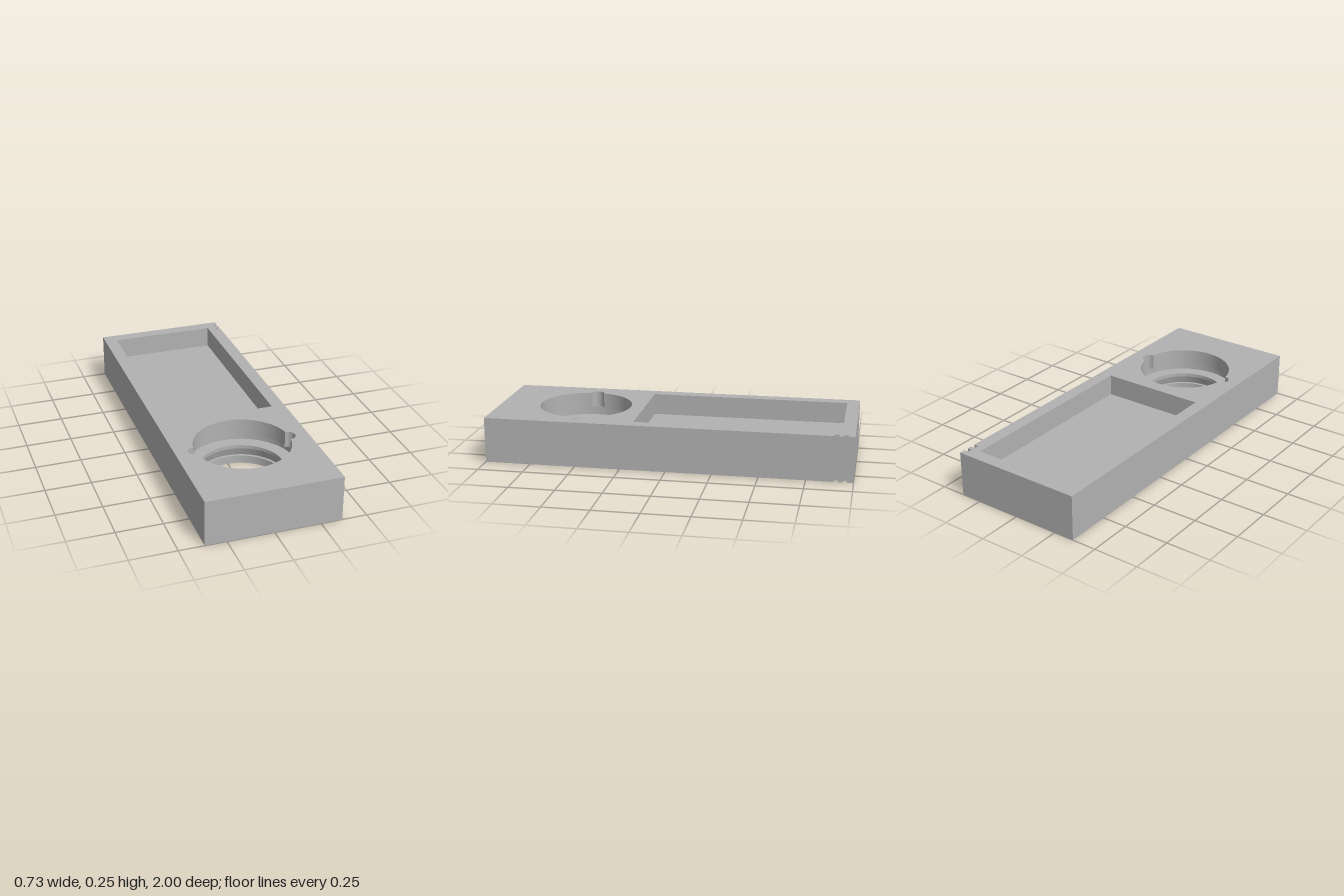
import * as THREE from 'three';

const W = 0.365, H = 0.25;           // half width, height
const POCKET_Y = 0.13;               // pocket floor
const HOLE_Z = 0.52, BORE = 0.258, THROUGH = 0.225, GROOVE = 0.296;
const LIP_Y = 0.16, LEDGE_Y = 0.11;  // underside of the lip, seat ledge

// Plan outlines are lists of [x, z], wound anticlockwise seen from above
const vectors = (pts, sign) => pts.map(([x, z]) => new THREE.Vector2(x, sign * z));

// Flat horizontal face with holes, facing up or down
function cap(outline, holes, y, up) {
  const sign = up ? -1 : 1;
  const shape = new THREE.Shape(vectors(outline, sign));
  holes.forEach(h => shape.holes.push(new THREE.Path(vectors(h, sign))));
  return new THREE.ShapeGeometry(shape).rotateX(up ? -Math.PI / 2 : Math.PI / 2).translate(0, y, 0);
}

// Vertical wall following a closed outline; inward walls face the middle
function wall(outline, y0, y1, inward) {
  const pts = inward ? [...outline].reverse() : outline;
  const pos = [];
  pts.forEach(([x, z], i) => {
    const [u, v] = pts[(i + 1) % pts.length];
    pos.push(x, y0, z, u, y0, v, u, y1, v, x, y0, z, u, y1, v, x, y1, z);
  });
  const g = new THREE.BufferGeometry();
  g.setAttribute('position', new THREE.Float32BufferAttribute(pos, 3));
  g.computeVertexNormals();
  return g;
}

// Closed round outline about the hole centre, radius given by angle
function round(radiusAt, n = 240) {
  return Array.from({ length: n }, (_, i) => {
    const a = (i / n) * Math.PI * 2, r = radiusAt(a);
    return [r * Math.cos(a), HOLE_Z - r * Math.sin(a)];
  });
}

export function createModel() {
  const model = new THREE.Group();
  const grey = new THREE.MeshStandardMaterial({ color: 0xb2b2b2 });
  grey.name = 'plain grey';
  const add = (name, geometry) => {
    const mesh = new THREE.Mesh(geometry, grey);
    mesh.name = name;
    model.add(mesh);
    return mesh;
  };

  // Block outline with two small slots at the back of the left side
  const outline = [[-W, 1], [W, 1]];
  for (const [z0, z1] of [[-0.895, -0.919], [-0.943, -0.966]]) {
    outline.push([W, z0], [0.338, z0], [0.338, z1], [W, z1]);
  }
  outline.push([W, -1], [-W, -1]);

  const pocket = [[-0.295, 0.185], [0.293, 0.185], [0.293, -0.93], [-0.295, -0.93]];
  const through = round(() => THROUGH);
  const groove = round(() => GROOVE);

  // Bore widened by a half-round notch on each side
  const bore = round(a => {
    const c = 0.255, k = 0.04, s = c * Math.sin(a);
    return Math.abs(s) < k
      ? Math.max(BORE, c * Math.abs(Math.cos(a)) + Math.sqrt(k * k - s * s))
      : BORE;
  });

  // Block
  add('outerWalls', wall(outline, 0, H, false));
  add('topFace', cap(outline, [pocket, bore], H, true));
  add('bottomFace', cap(outline, [through], 0, false));

  // Rectangular pocket
  add('pocketWalls', wall(pocket, POCKET_Y, H, true));
  add('pocketFloor', cap(pocket, [], POCKET_Y, true));

  // Notched upper bore with the groove beneath its lip
  add('boreWall', wall(bore, LIP_Y, H, true));
  add('grooveCeiling', cap(groove, [bore], LIP_Y, false));

  // Lower bore, one band per profile step so the edges stay sharp
  const profile = [
    [GROOVE, LIP_Y], [GROOVE, LEDGE_Y], [THROUGH, LEDGE_Y], [THROUGH, 0.09],
    [0.24, 0.045], [THROUGH, 0.045], [THROUGH, 0],
  ].map(p => new THREE.Vector2(...p));
  for (let i = 0; i < profile.length - 1; i++) {
    add('lowerBore' + (i + 1), new THREE.LatheGeometry([profile[i], profile[i + 1]], 120)).position.z = HOLE_Z;
  }

  return model;
}
